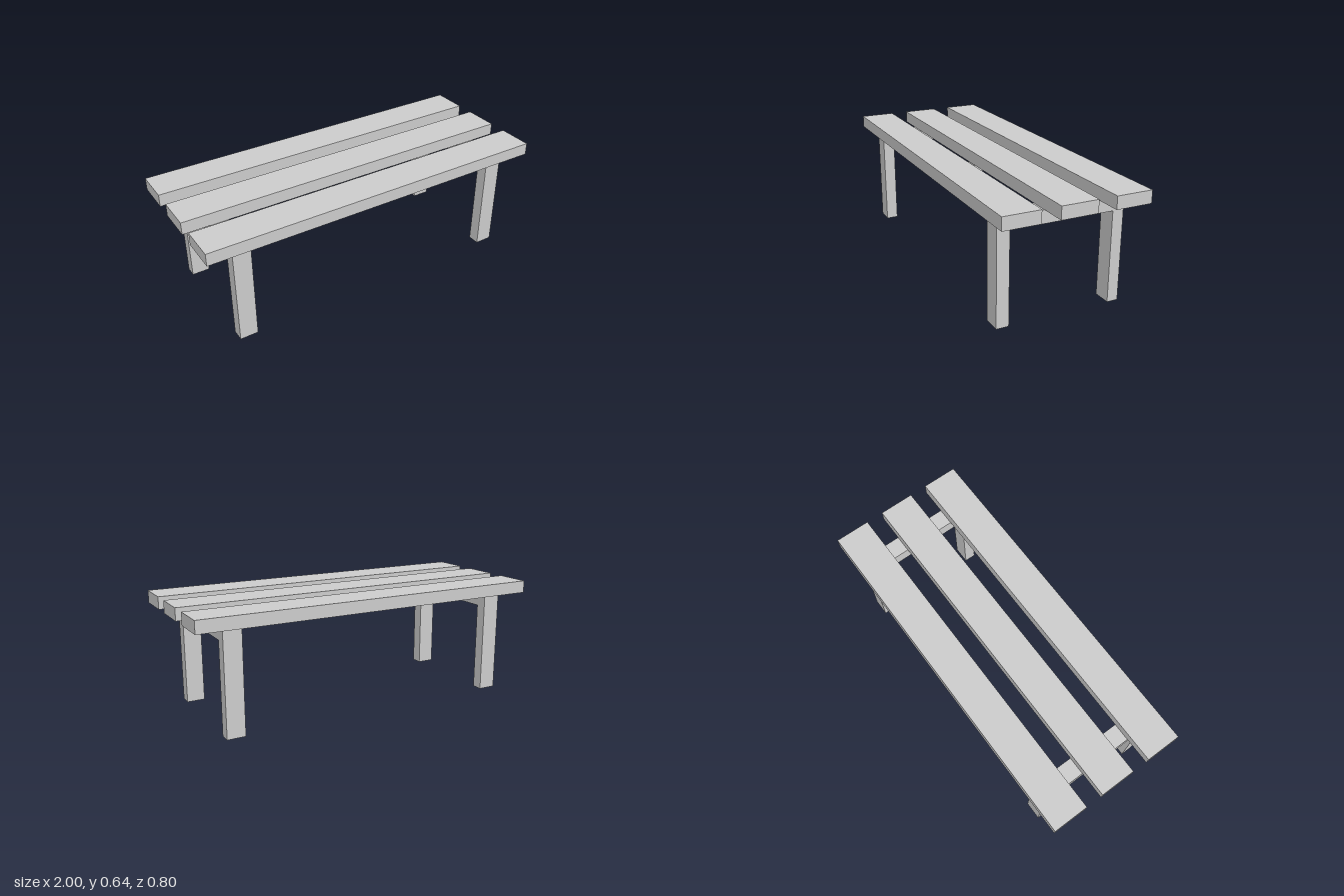
import * as THREE from 'three';

const material = new THREE.MeshStandardMaterial({ color: 0xcccccc, flatShading: true });

const SEAT_TOP = 0.64, FRAME_TOP = 0.571, RAIL_BOTTOM = 0.5;
const FRAME_WIDTH = 0.1;

// Legs and cross rail as one upside-down U, drawn in (z, y) and extruded along x
function legFrameGeometry() {
  const shape = new THREE.Shape([
    [-0.351, 0], [-0.289, 0], [-0.289, RAIL_BOTTOM], [0.279, RAIL_BOTTOM],
    [0.279, 0], [0.347, 0], [0.347, FRAME_TOP], [-0.351, FRAME_TOP],
  ].map(([z, y]) => new THREE.Vector2(z, y)));
  const geometry = new THREE.ExtrudeGeometry(shape, { depth: FRAME_WIDTH, bevelEnabled: false });
  return geometry.translate(0, 0, -FRAME_WIDTH / 2).rotateY(-Math.PI / 2);
}

export function createModel() {
  const bench = new THREE.Group();
  bench.name = 'bench';

  const add = (name, geometry, x, y, z) => {
    const mesh = new THREE.Mesh(geometry, material);
    mesh.name = name;
    mesh.position.set(x, y, z);
    bench.add(mesh);
  };

  // Three seat slats
  const slat = new THREE.BoxGeometry(2, SEAT_TOP - FRAME_TOP, 0.2);
  const slatY = (SEAT_TOP + FRAME_TOP) / 2;
  for (const [name, z] of [['backSlat', -0.3], ['middleSlat', 0], ['frontSlat', 0.3]]) {
    add(name, slat, 0, slatY, z);
  }

  // Leg frames at both ends
  const frame = legFrameGeometry();
  add('leftLegFrame', frame, 0.8, 0, 0);
  add('rightLegFrame', frame, -0.8, 0, 0);

  return bench;
}
